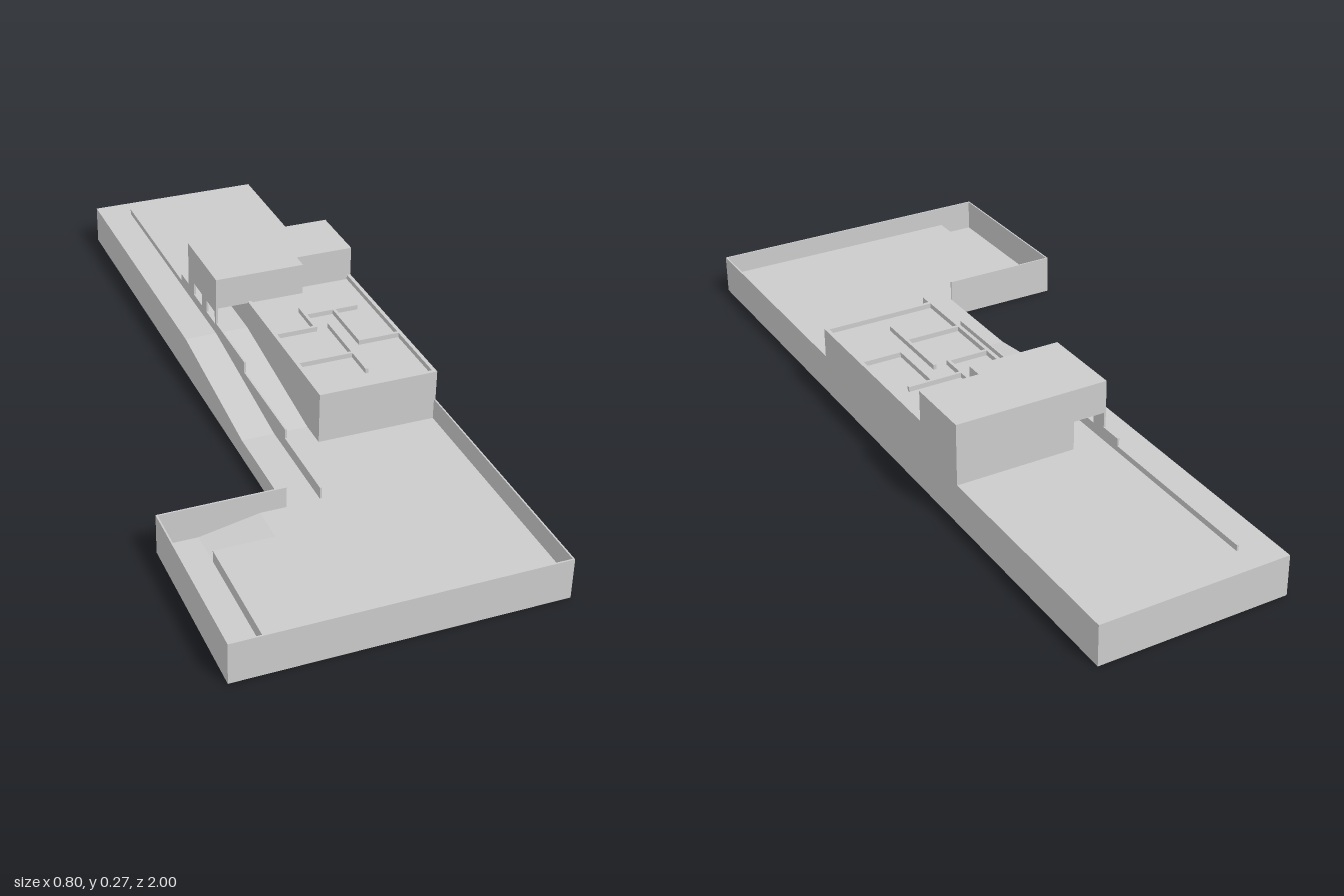
import * as THREE from 'three';

const material = new THREE.MeshStandardMaterial({ color: 0xcccccc, flatShading: true });

export function createModel() {
  const model = new THREE.Group();

  const add = (name, geometry) => {
    const mesh = new THREE.Mesh(geometry, material);
    mesh.name = name;
    model.add(mesh);
    return mesh;
  };

  // Box given by its limits on each axis
  const box = (name, x0, x1, y0, y1, z0, z1) => {
    const g = new THREE.BoxGeometry(x1 - x0, y1 - y0, z1 - z0);
    g.translate((x0 + x1) / 2, (y0 + y1) / 2, (z0 + z1) / 2);
    return add(name, g);
  };

  const shapeOf = (points) => new THREE.Shape(points.map(([a, b]) => new THREE.Vector2(a, b)));

  // Side profile in (z, y), extruded between x0 and x1
  const sideProfile = (name, shape, x0, x1) => {
    const g = new THREE.ExtrudeGeometry(shape, { depth: x1 - x0, bevelEnabled: false });
    g.rotateY(-Math.PI / 2);
    g.translate(x1, 0, 0);
    return add(name, g);
  };

  const FLOOR = 0.05, LOW = 0.02, TOP = 0.105, T = 0.004;

  // Main ground: low yard, slope, raised rear terrace
  sideProfile('ground', shapeOf([
    [-1, 0], [1, 0], [1, FLOOR], [0.24, FLOOR], [-0.18, TOP], [-1, TOP],
  ]), -0.085, 0.4);

  // Side yard with a sunken strip and a ramp along its back edge
  box('sideYard', -0.3, -0.085, 0, FLOOR, 0.63, 1);
  box('sunkenStrip', -0.4, -0.3, 0, LOW, 0.53, 1);
  const ramp = new THREE.ExtrudeGeometry(shapeOf([
    [-0.3, 0], [-0.085, 0], [-0.085, FLOOR], [-0.15, FLOOR], [-0.3, LOW],
  ]), { depth: 0.1, bevelEnabled: false });
  ramp.translate(0, 0, 0.53);
  add('ramp', ramp);

  // Thin boundary walls
  box('frontBoundary', -0.4, 0.4, 0, TOP, 1 - T, 1);
  box('leftBoundary', 0.4 - T, 0.4, 0, TOP, -0.18, 1);
  box('rightBoundary', -0.4, -0.4 + T, 0, TOP, 0.53, 1);
  box('yardBackBoundary', -0.4, -0.085, 0, TOP, 0.53, 0.53 + T);

  // Stepped garden wall with two window openings under the upper storey
  const wall = shapeOf([
    [-0.93, 0.04], [0.53, 0.04], [0.53, 0.08], [0.31, 0.08], [0.31, 0.105], [0.03, 0.105],
    [0.03, 0.135], [-0.18, 0.135], [-0.18, 0.18], [-0.4, 0.18], [-0.4, 0.14],
    [-0.46, 0.14], [-0.46, 0.12], [-0.93, 0.12],
  ]);
  for (const z of [-0.355, -0.255]) {
    wall.holes.push(new THREE.Path([[z, 0.13], [z, 0.165], [z + 0.065, 0.165], [z + 0.065, 0.13]]
      .map(([a, b]) => new THREE.Vector2(a, b))));
  }
  sideProfile('gardenWall', wall, 0, 0.005);

  // Lower storey: solid body with shallow open rooms on top
  const ROOM = 0.172, RIM = 0.185;
  box('lowerStorey', 0.088, 0.4, 0.04, ROOM, -0.4, 0.312);
  const partitions = [
    // x0, x1, z0, z1
    [0.088, 0.4, 0.302, 0.312], [0.088, 0.098, -0.3, 0.312], [0.39, 0.4, -0.3, 0.312],
    [0.098, 0.24, 0.15, 0.158], [0.28, 0.39, 0.1, 0.108], [0.24, 0.248, 0.0, 0.24],
    [0.28, 0.288, -0.06, 0.108], [0.098, 0.2, 0.0, 0.008], [0.2, 0.208, -0.1, 0.008],
    [0.2, 0.35, -0.068, -0.06],
  ];
  for (const [x0, x1, z0, z1] of partitions) box('roomPartition', x0, x1, ROOM, RIM, z0, z1);

  // Upper storey, notched at its front left corner, bridging the passage
  const upper = new THREE.ExtrudeGeometry(shapeOf([
    [0, 0.4], [0.4, 0.4], [0.4, 0.222], [0.243, 0.222], [0.243, 0.178], [0, 0.178],
  ]), { depth: 0.265 - 0.18, bevelEnabled: false });
  upper.rotateX(-Math.PI / 2);
  upper.translate(0, 0.18, 0);
  add('upperStorey', upper);
  box('upperStoreyBase', 0.088, 0.4, ROOM, 0.18, -0.4, -0.222);

  return model;
}
